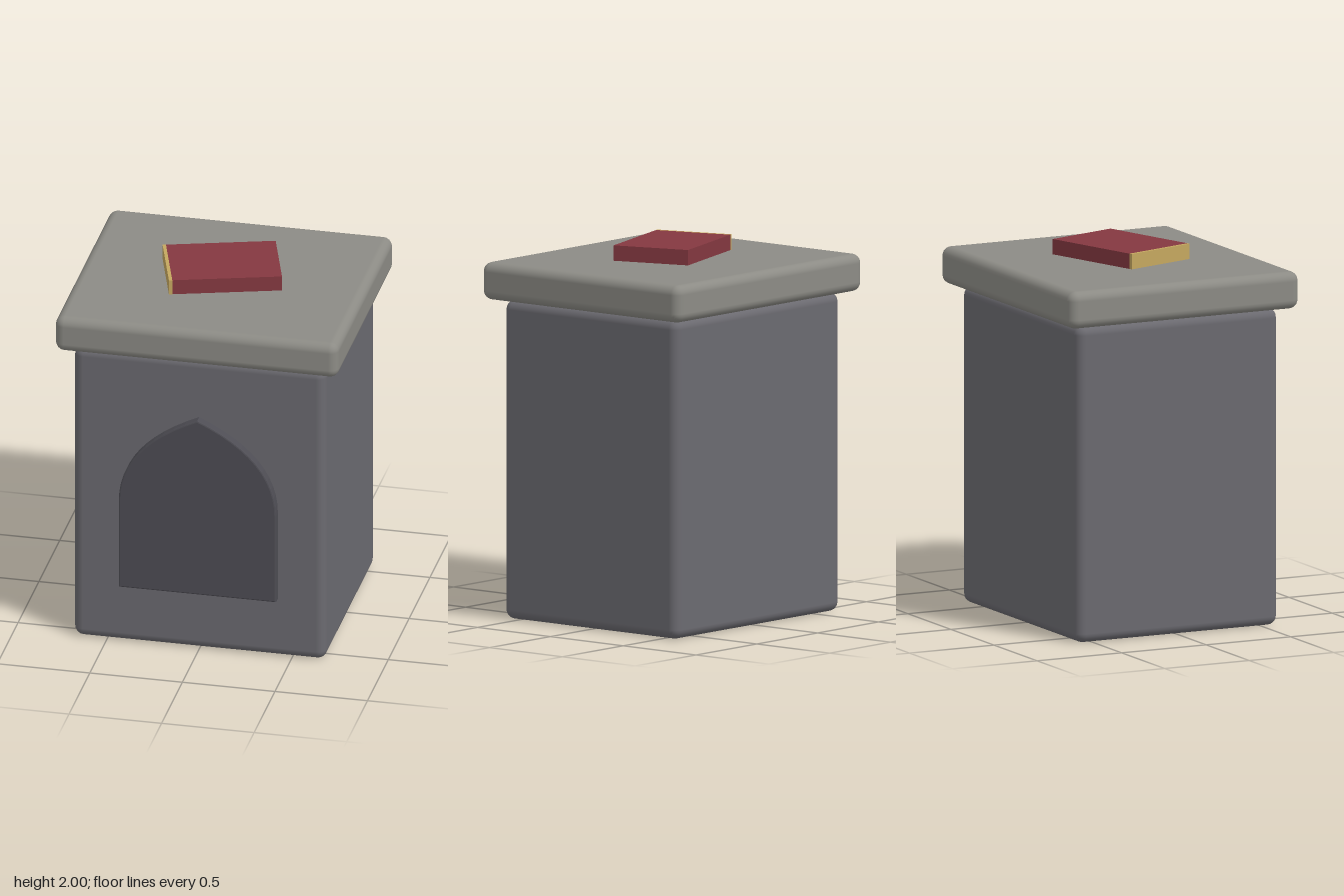
import * as THREE from 'three';
import { RoundedBoxGeometry } from 'three/addons/geometries/RoundedBoxGeometry.js';

function part(name, geometry, color, x, y, z) {
  const mesh = new THREE.Mesh(geometry, new THREE.MeshStandardMaterial({ color }));
  mesh.name = name;
  mesh.position.set(x, y, z);
  return mesh;
}

// Pointed arch outline, straight sides up to the springing line
function archShape(halfWidth, bottom, spring, top) {
  const control = 1.18;
  const shape = new THREE.Shape();
  shape.moveTo(-halfWidth, bottom);
  shape.lineTo(halfWidth, bottom);
  shape.lineTo(halfWidth, spring);
  shape.quadraticCurveTo(halfWidth, control, 0, top);
  shape.quadraticCurveTo(-halfWidth, control, -halfWidth, spring);
  shape.closePath();
  return shape;
}

export function createModel() {
  const model = new THREE.Group();
  model.name = 'pedestal';

  // Stone block and overhanging slab
  model.add(part('body', new RoundedBoxGeometry(1.36, 1.7, 1.19, 3, 0.05), 0x6b6a70, 0, 0.853, 0));
  model.add(part('topSlab', new RoundedBoxGeometry(1.53, 0.2, 1.36, 3, 0.05), 0x8c8b85, 0, 1.806, 0));

  // Raised arched panel on the front
  const bevel = 0.008;
  const panel = new THREE.ExtrudeGeometry(archShape(0.425, 0.345, 0.85, 1.367), {
    depth: 0.06 - bevel, curveSegments: 12,
    bevelEnabled: true, bevelSize: bevel, bevelThickness: bevel, bevelOffset: -bevel, bevelSegments: 2,
  });
  model.add(part('archPanel', panel, 0x4e4d54, 0, 0, 0.585));

  // Closed book lying askew on the slab, page edge showing at one end
  const book = new THREE.Group();
  book.name = 'book';
  book.position.y = 1.959;
  book.rotation.y = 0.3;
  book.add(part('cover', new THREE.BoxGeometry(0.58, 0.082, 0.425), 0x843840, 0, 0, 0));
  book.add(part('pages', new THREE.BoxGeometry(0.018, 0.082, 0.425), 0xc4a75f, -0.299, 0, 0));
  model.add(book);

  return model;
}
